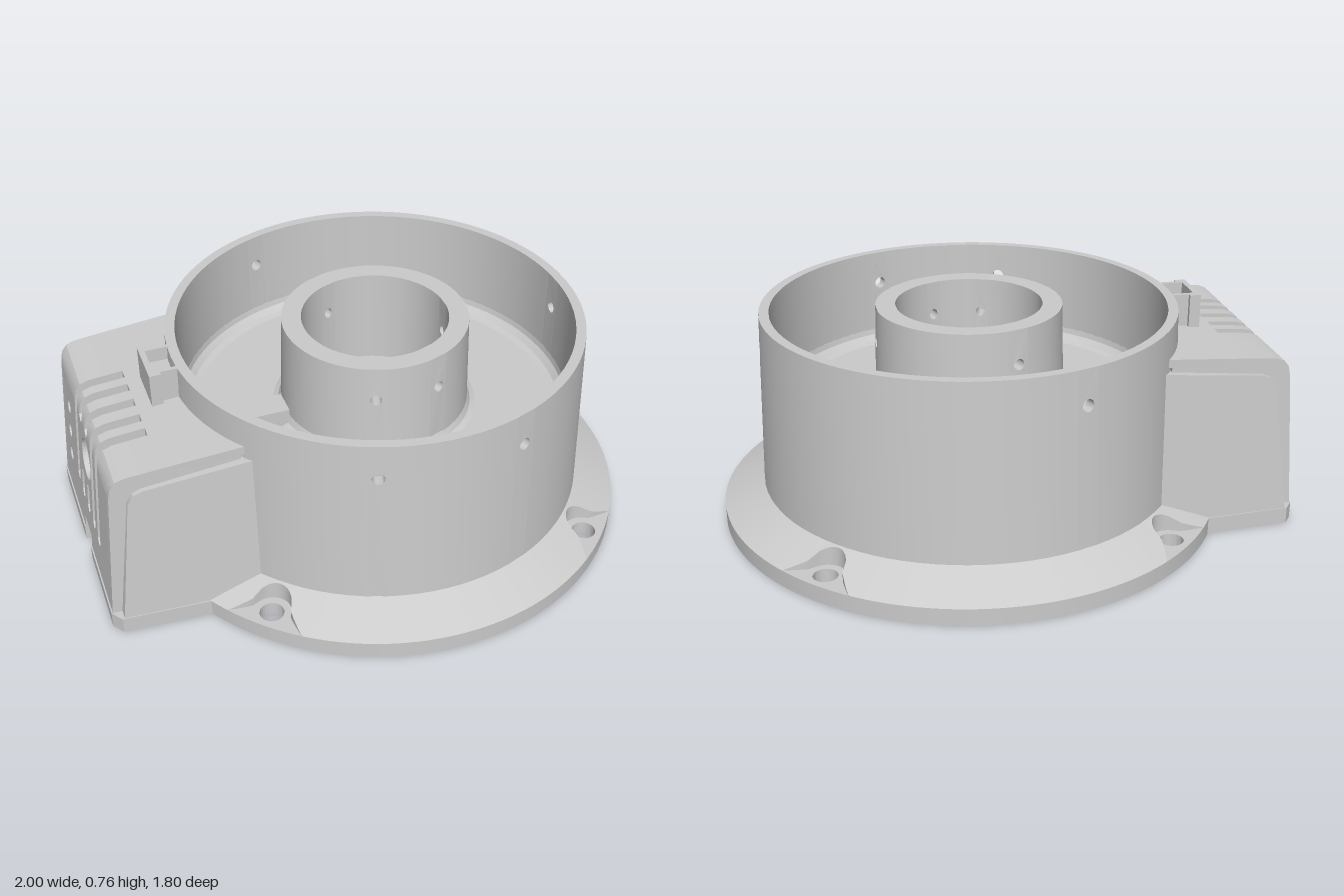
import * as THREE from 'three';
import { toCreasedNormals } from 'three/addons/utils/BufferGeometryUtils.js';

const CX = 0.1; // axis of the round housing
const rad = THREE.MathUtils.degToRad;
const V = (x, y) => new THREE.Vector2(x, y);
const poly = (pts) => new THREE.Shape(pts.map(([x, y]) => V(x, y)));
const circle = (x, y, r) => new THREE.Path().absarc(x, y, r, 0, Math.PI * 2, true);

export function createModel() {
  const model = new THREE.Group();
  const material = new THREE.MeshStandardMaterial({ color: 0xcccccc });

  const add = (name, geo, x = 0, y = 0, z = 0) => {
    const mesh = new THREE.Mesh(toCreasedNormals(geo, 0.5), material);
    mesh.name = name;
    mesh.position.set(x, y, z);
    model.add(mesh);
    return mesh;
  };
  const extrude = (shape, depth, curveSegments = 24) =>
    new THREE.ExtrudeGeometry(shape, { depth, bevelEnabled: false, curveSegments });
  // Shape drawn in plan (x, -z), raised from y0 by h
  const slab = (shape, y0, h, seg = 24) => extrude(shape, h, seg).rotateX(-Math.PI / 2).translate(0, y0, 0);
  // Move every vertex by a rule
  const warp = (geo, rule) => {
    const p = geo.attributes.position;
    for (let i = 0; i < p.count; i++) p.setXYZ(i, ...rule(p.getX(i), p.getY(i), p.getZ(i)));
    geo.computeVertexNormals();
    return geo;
  };
  const lathe = (pts, seg = 96, start = 0, len = Math.PI * 2) =>
    new THREE.LatheGeometry(pts.map(([r, y]) => V(r, y)), seg, start, len);

  // Tapered ring wall, pierced by round screw holes at the given angles
  const piercedWall = (name, y0, y1, ro0, ro1, ri, holeY, holeR, half) => {
    const angles = [-20, 20, 90, 200].map(rad);
    const outer = (y) => ro0 + (ro1 - ro0) * (y - y0) / (y1 - y0);
    angles.forEach((a, i) => {
      const next = i < 3 ? angles[i + 1] : angles[0] + Math.PI * 2;
      const len = next - a - 2 * half;
      add(name, lathe([[ro0, y0], [ro1, y1], [ri, y1], [ri, y0]], Math.ceil(len / rad(4)), a + half, len), CX);
      const w = half * ro1;
      const patch = poly([[-w, y0], [w, y0], [w, y1], [-w, y1]]);
      patch.holes.push(circle(0, holeY, holeR));
      add(name, warp(extrude(patch, 1, 10), (u, y, d) => {
        const r = d > 0.5 ? outer(y) : ri, t = a + u / ro1;
        return [r * Math.sin(t), y, r * Math.cos(t)];
      }), CX);
    });
  };
  piercedWall('outerWall', 0.06, 0.76, 0.757, 0.735, 0.70, 0.635, 0.022, rad(3));
  piercedWall('innerRing', 0.38, 0.76, 0.34, 0.33, 0.26, 0.635, 0.02, rad(6));

  // Base plate: round flange joined to the footprint of the side box
  const baseOutline = (R, inset) => {
    const z = 0.47 - inset, a = Math.PI - Math.asin(z / R), x = -1 + inset;
    const s = new THREE.Shape();
    s.absarc(CX, 0, R, -a, a, false);
    [[x + 0.03, 0.45 - inset], [x, 0.41 - inset], [x, 0.05], [x + 0.03, 0.05], [x + 0.03, -0.06], [x, -0.06],
      [x, inset - 0.41], [x + 0.03, inset - 0.45]].forEach(([px, py]) => s.lineTo(px, py));
    s.closePath();
    return s;
  };
  const base = baseOutline(0.9, 0);
  const corners = [45, 135, 225, 315].map(rad);
  for (const a of corners) base.holes.push(circle(CX + 0.834 * Math.cos(a), 0.834 * Math.sin(a), 0.042));
  for (const [x, z] of [[0.845, 0], [-0.38, -0.61], [-0.23, 0.7]]) base.holes.push(circle(x, -z, 0.026));
  add('basePlate', slab(base, 0.01, 0.05, 64));
  const lip = baseOutline(0.9, 0);
  lip.holes.push(new THREE.Path(baseOutline(0.882, 0.018).getPoints(64)));
  add('baseLip', slab(lip, 0, 0.01, 64));

  // Sloped flange, cut back to a flat seat around each mounting hole
  const N = 360, pos = [], idx = [];
  const slopeY = (r) => 0.06 + 0.075 * (0.9 - r) / 0.145;
  for (let i = 0; i <= N; i++) {
    const t = i / N * Math.PI * 2;
    const d = Math.abs((t % (Math.PI / 2)) - Math.PI / 4) * 0.834;
    let p = 0.9;
    if (d < 0.07) p = 0.834 - Math.sqrt(0.07 ** 2 - d * d);
    else if (d < 0.13) p = 0.834 + 0.066 * (d - 0.07) / 0.06;
    for (const [r, y] of [[p, 0.06], [p, slopeY(p)], [0.75, slopeY(0.755)]])
      pos.push(r * Math.sin(t), y, r * Math.cos(t));
    if (i < N) for (let k = 0; k < 2; k++) {
      const a = i * 3 + k, b = a + 3;
      idx.push(a, b, b + 1, a, b + 1, a + 1);
    }
  }
  const slope = new THREE.BufferGeometry();
  slope.setAttribute('position', new THREE.Float32BufferAttribute(pos, 3));
  slope.setIndex(idx);
  slope.computeVertexNormals();
  add('flangeSlope', slope, CX);

  // Floor of the ring channel with a curved pocket and ramp
  const band = (r0, r1, a0, a1, Type) => {
    const s = new Type();
    s.absarc(0, 0, r1, rad(a0), rad(a1), false);
    s.absarc(0, 0, r0, rad(a1), rad(a0), true);
    s.closePath();
    return s;
  };
  const floor = new THREE.Shape().absarc(0, 0, 0.705, 0, Math.PI * 2, false);
  floor.holes.push(band(0.42, 0.56, 220, 278, THREE.Path));
  add('floor', slab(floor, 0.35, 0.05, 48), CX);
  add('pocketFloor', slab(band(0.41, 0.57, 218, 280, THREE.Shape), 0.33, 0.035), CX);
  add('pocketRamp', warp(slab(band(0.42, 0.56, 220, 236, THREE.Shape), 0.36, 0.04), (x, y, z) => {
    const a = THREE.MathUtils.radToDeg(Math.atan2(z, -x));
    return [x, y > 0.38 ? 0.37 + 0.03 * (56 - a) / 16 : y, z];
  }), CX);
  add('floorFillet', lathe([[0.65, 0.4], [0.675, 0.405], [0.695, 0.425], [0.701, 0.45]].reverse().map(([r, y]) => [r, y]), 96), CX);
  add('ringFillet', lathe([[0.37, 0.4], [0.35, 0.41], [0.335, 0.44]], 64), CX);
  add('cableCover', new THREE.BoxGeometry(0.37, 0.07, 0.1), -0.425, 0.43, 0);

  // Mounting pad, hub and screws in the middle well
  add('mountPad', new THREE.CylinderGeometry(0.205, 0.205, 0.04, 64), CX, 0.41, 0);
  add('hubCollar', lathe([[0.06, 0.42], [0.06, 0.45], [0.045, 0.45], [0.045, 0.42]], 32), CX);
  add('hubNut', new THREE.CylinderGeometry(0.035, 0.035, 0.03, 6), CX, 0.44, 0);
  add('hubPin', new THREE.CylinderGeometry(0.012, 0.012, 0.04, 12), CX, 0.445, 0);
  for (const [x, z] of [[-0.06, 0.16], [0.06, 0.16], [-0.06, -0.16], [0.06, -0.16], [0.11, 0], [-0.07, 0]])
    add('padScrew', new THREE.CylinderGeometry(0.011, 0.011, 0.01, 10), CX + x, 0.433, z);

  // Side box: vented back plate
  const slots = [[-0.13, 0.22], [-0.05, 0.53], [0.04, 0.53], [0.13, 0.2], [0.21, 0.19]];
  const S = 0.02;
  const outline = [[-0.41, 0], [-0.05, 0], [-0.05, 0.11], [0.06, 0.11], [0.06, 0], [0.41, 0], [0.405, 0.55]];
  for (const [z, end] of [...slots].reverse())
    outline.push([z + S, 0.55], [z + S, end + S], [z, end], [z - S, end + S], [z - S, 0.55]);
  outline.push([-0.405, 0.55]);
  const back = poly(outline);
  back.holes.push(circle(0.03, 0.43, 0.073));
  for (const y of [0.435, 0.33, 0.225]) back.holes.push(circle(-0.28, y, 0.026));
  for (const z of [-0.05, 0.04])
    back.holes.push(new THREE.Path([V(z - S, 0.22), V(z, 0.2), V(z + S, 0.22), V(z + S, 0.31), V(z, 0.33), V(z - S, 0.31)]));
  add('boxBackPlate', warp(extrude(back, 0.03), (u, y, d) => [-1 + 0.08 * y + 0.03 - d, y, u]));

  // Curved ribs between the slots, joining back plate and lid
  const ribShape = poly([[-0.956, 0.55], [-0.926, 0.55], [-0.92, 0.575], [-0.9, 0.592], [-0.78, 0.604],
    [-0.78, 0.634], [-0.9, 0.624], [-0.93, 0.613], [-0.948, 0.59]]);
  const edges = [-0.405, ...slots.flatMap(([z]) => [z - S, z + S]), 0.405];
  for (let i = 0; i < edges.length; i += 2)
    add('ventRib', extrude(ribShape, edges[i + 1] - edges[i]).translate(0, 0, edges[i]));

  // Lid, sloping up to the round wall
  const lid = new THREE.Shape();
  const la = Math.asin(0.42 / 0.73);
  lid.moveTo(-0.78, 0.41);
  lid.lineTo(-0.78, -0.41);
  lid.absarc(CX, 0, 0.73, -Math.PI + la, -Math.PI - la, true);
  lid.closePath();
  add('boxLid', warp(slab(lid, 0, 0.03), (x, y, z) => [x, y + 0.604 + (x + 0.78) * 0.075, z]));

  // Box sides: shell edge and a proud, tapered panel on each side
  const sideShape = poly([[-1, 0], [-0.52, 0], [-0.52, 0.65], [-0.78, 0.634], [-0.9, 0.624], [-0.93, 0.613], [-0.948, 0.59], [-0.956, 0.55]]);
  const panelShape = poly([[-0.97, 0], [-0.48, 0], [-0.48, 0.612], [-0.85, 0.572], [-0.88, 0.56], [-0.9, 0.53]]);
  for (const s of [1, -1]) {
    const side = (inner, outer) => (x, y, d) => {
      const isOuter = (d > 0.5) === (s > 0);
      return [x, y, s * (isOuter ? outer(x, y) : inner)];
    };
    add('boxSide', warp(extrude(sideShape, 1), side(0.375, (x, y) => 0.41 + (x + 1) * 0.03 - y * 0.01)));
    add('boxSidePanel', warp(extrude(panelShape, 1), side(0.4, (x, y) => 0.45 + (x + 0.97) * 0.06 - y * 0.055)));
  }

  // Small open bracket on the wall above the lid
  const bracket = poly([[-0.61, 0.075], [-0.69, 0.075], [-0.69, 0.09], [-0.73, 0.09], [-0.73, -0.09], [-0.69, -0.09],
    [-0.69, -0.075], [-0.61, -0.075], [-0.61, -0.06], [-0.71, -0.06], [-0.71, 0.06], [-0.61, 0.06]]);
  add('wallBracket', slab(bracket, 0.62, 0.14));
  add('bracketFloor', new THREE.BoxGeometry(0.1, 0.06, 0.13), -0.665, 0.68, 0);
  return model;
}
